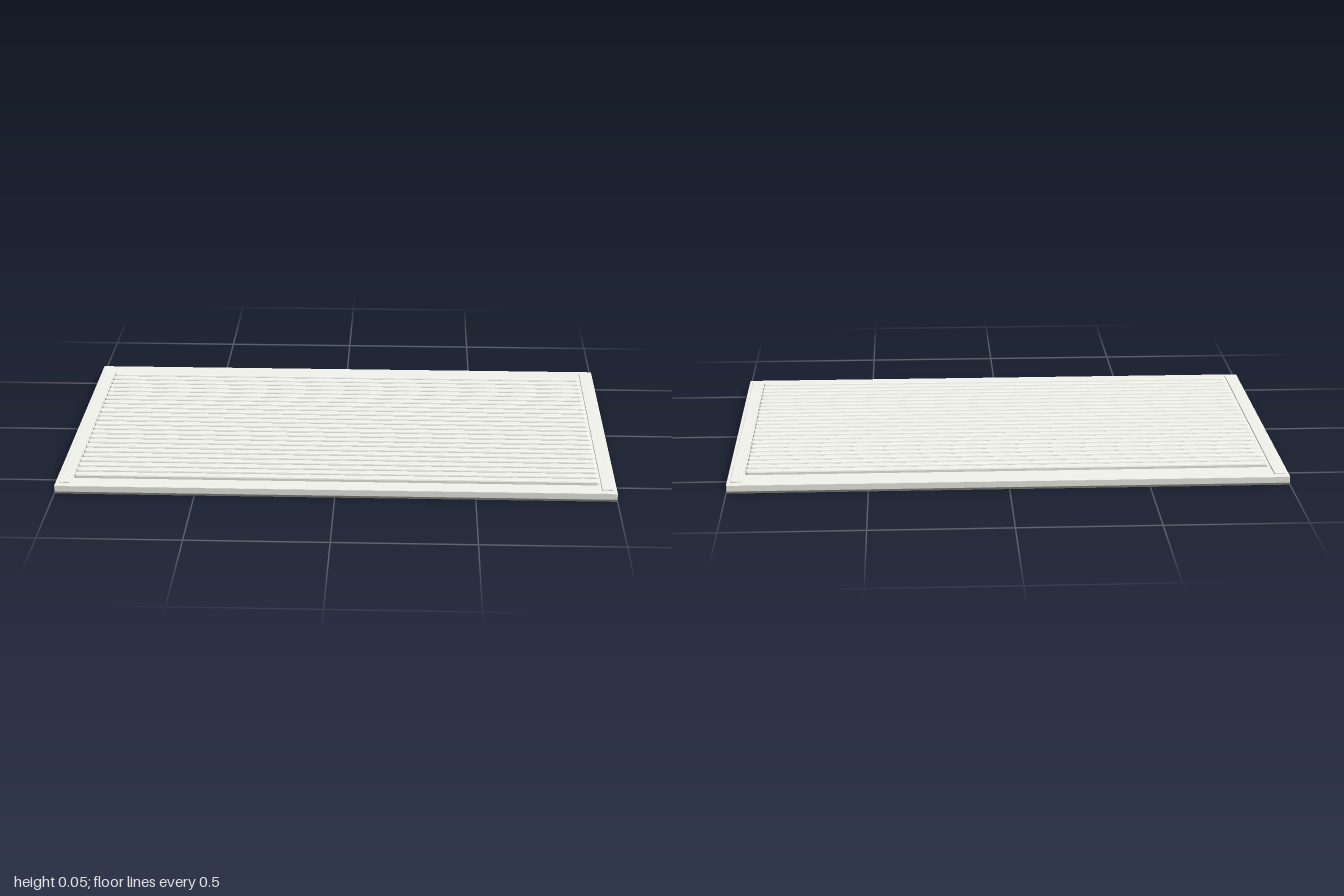
import * as THREE from 'three';

const paint = (color) => new THREE.MeshStandardMaterial({ color });
const ivory = paint(0xf5f5ef);
const darkGrey = paint(0x7c7c78);

// Flat bar lying on the ground plane with softened edges and rounded corners
function bar(name, width, depth, bottom, top, bevel, corner) {
  const w = width / 2 - bevel, d = depth / 2 - bevel, r = corner;
  const s = new THREE.Shape();
  s.moveTo(-w + r, -d);
  s.lineTo(w - r, -d);
  s.quadraticCurveTo(w, -d, w, -d + r);
  s.lineTo(w, d - r);
  s.quadraticCurveTo(w, d, w - r, d);
  s.lineTo(-w + r, d);
  s.quadraticCurveTo(-w, d, -w, d - r);
  s.lineTo(-w, -d + r);
  s.quadraticCurveTo(-w, -d, -w + r, -d);
  const geometry = new THREE.ExtrudeGeometry(s, {
    depth: top - bottom - 2 * bevel, bevelEnabled: true, bevelSize: bevel,
    bevelThickness: bevel, bevelSegments: 2, curveSegments: 3,
  });
  geometry.rotateX(-Math.PI / 2);
  geometry.translate(0, bottom + bevel, 0);
  const mesh = new THREE.Mesh(geometry, ivory);
  mesh.name = name;
  return mesh;
}

export function createModel() {
  const model = new THREE.Group();
  model.name = 'ribbedMat';

  // Slab with a thin dark backing sheet underneath
  const slab = bar('slab', 2, 1.246, 0.006, 0.031, 0.002, 0.002);
  const backing = new THREE.Mesh(new THREE.BoxGeometry(2, 0.007, 1.246), darkGrey);
  backing.name = 'backing';
  backing.position.y = 0.0035;
  model.add(slab, backing);

  // Low rails along both short sides
  for (const side of [-1, 1]) {
    const rail = bar(side > 0 ? 'leftRail' : 'rightRail', 0.041, 1.194, 0.022, 0.036, 0.002, 0.003);
    rail.position.x = side * 0.967;
    model.add(rail);
  }

  // Evenly spaced ribs running across the slab
  const ribs = new THREE.Group();
  ribs.name = 'ribs';
  const count = 24;
  for (let i = 0; i < count; i++) {
    const rib = bar('rib', 1.878, 0.033, 0.022, 0.045, 0.006, 0.004);
    rib.position.z = THREE.MathUtils.lerp(-0.503, 0.535, i / (count - 1));
    ribs.add(rib);
  }
  model.add(ribs);
  return model;
}
